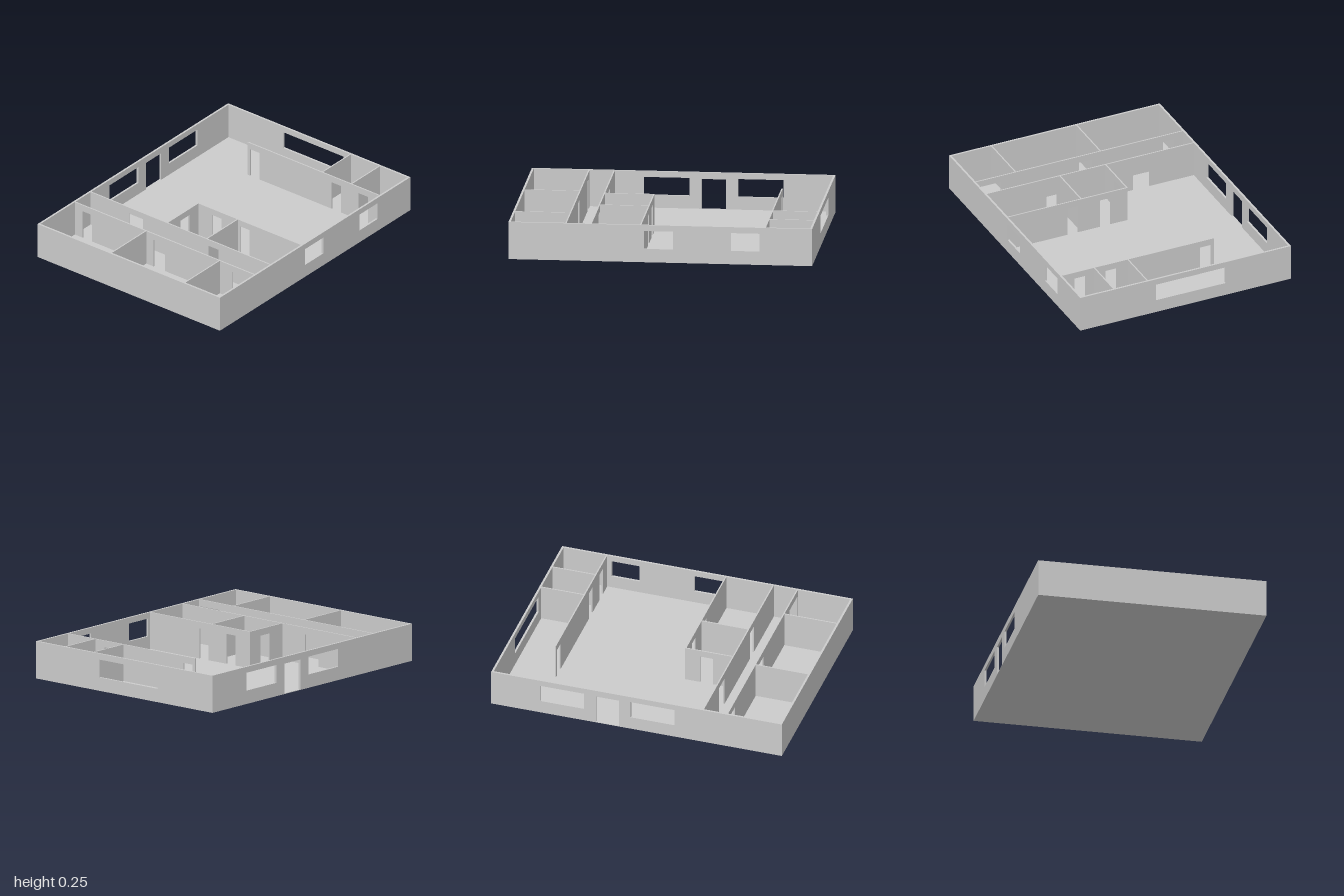
import * as THREE from 'three';

const W = 0.765, D = 1, H = 0.25, FLOOR = 0.004;
const OUTER = 0.014, INNER = 0.009;
const SILL = 0.09, HEAD = 0.21, DOOR = 0.205;

const material = new THREE.MeshStandardMaterial({ color: 0xcccccc, flatShading: true });

// Upright slab from a to b, with door notches and window holes given as [start, end]
function wallGeometry(a, b, thickness, doors, windows) {
  const shape = new THREE.Shape();
  shape.moveTo(a, FLOOR);
  for (const [s, e] of doors) {
    shape.lineTo(s, FLOOR);
    shape.lineTo(s, DOOR);
    shape.lineTo(e, DOOR);
    shape.lineTo(e, FLOOR);
  }
  shape.lineTo(b, FLOOR);
  shape.lineTo(b, H);
  shape.lineTo(a, H);
  shape.closePath();
  for (const [s, e] of windows) {
    const hole = new THREE.Path();
    hole.moveTo(s, SILL);
    hole.lineTo(s, HEAD);
    hole.lineTo(e, HEAD);
    hole.lineTo(e, SILL);
    hole.closePath();
    shape.holes.push(hole);
  }
  const geometry = new THREE.ExtrudeGeometry(shape, { depth: thickness, bevelEnabled: false });
  return geometry.translate(0, 0, -thickness / 2);
}

export function createModel() {
  const model = new THREE.Group();

  const add = (name, geometry) => {
    const mesh = new THREE.Mesh(geometry, material);
    mesh.name = name;
    model.add(mesh);
    return mesh;
  };
  // Wall running along x at a given z
  const wallX = (name, z, a, b, { doors = [], windows = [], t = INNER } = {}) => {
    add(name, wallGeometry(a, b, t, doors, windows)).position.z = z;
  };
  // Wall running along z at a given x
  const wallZ = (name, x, a, b, { doors = [], windows = [], t = INNER } = {}) => {
    const mesh = add(name, wallGeometry(a, b, t, doors, windows));
    mesh.rotation.y = -Math.PI / 2;
    mesh.position.x = x;
  };

  // Floor slab
  add('floor', new THREE.BoxGeometry(2 * W, FLOOR, 2 * D).translate(0, FLOOR / 2, 0));

  // Outer walls
  const ex = W - OUTER / 2, ez = D - OUTER / 2;
  const inX = W - OUTER, inZ = D - OUTER;
  wallX('frontWall', ez, -W, W, { t: OUTER });
  wallX('backWall', -ez, -W, W, { t: OUTER, windows: [[-0.29, 0.215]] });
  wallZ('leftWall', ex, -inZ, inZ, { t: OUTER, windows: [[-0.655, -0.465], [-0.085, 0.107]] });
  wallZ('rightWall', -ex, -inZ, inZ, {
    t: OUTER, doors: [[-0.28, -0.12]], windows: [[-0.66, -0.36], [-0.04, 0.26]],
  });

  // Back rooms
  wallX('backPartition', -0.69, -0.35, inX, { doors: [[-0.33, -0.25], [0.355, 0.435], [0.58, 0.66]] });
  for (const x of [0.273, 0.517]) wallZ('backRoomDivider', x, -inZ, -0.69);

  // Middle rooms
  wallX('middleRoomWall', 0.13, -0.115, inX, { doors: [[0.01, 0.087], [0.245, 0.322]] });
  wallZ('middleRoomEnd', -0.112, 0.13, 0.455, { doors: [[0.23, 0.32]] });
  wallZ('middleRoomDivider', 0.22, 0.13, 0.455);

  // Corridor
  wallX('corridorBackWall', 0.456, -inX, inX, { doors: [[-0.43, -0.31], [0.24, 0.32]] });
  wallX('corridorFrontWall', 0.622, -inX, inX, {
    doors: [[-0.685, -0.607], [-0.09, 0.005], [0.57, 0.74]],
  });

  // Front rooms
  for (const x of [-0.155, 0.461]) wallZ('frontRoomDivider', x, 0.622, inZ);

  return model;
}
